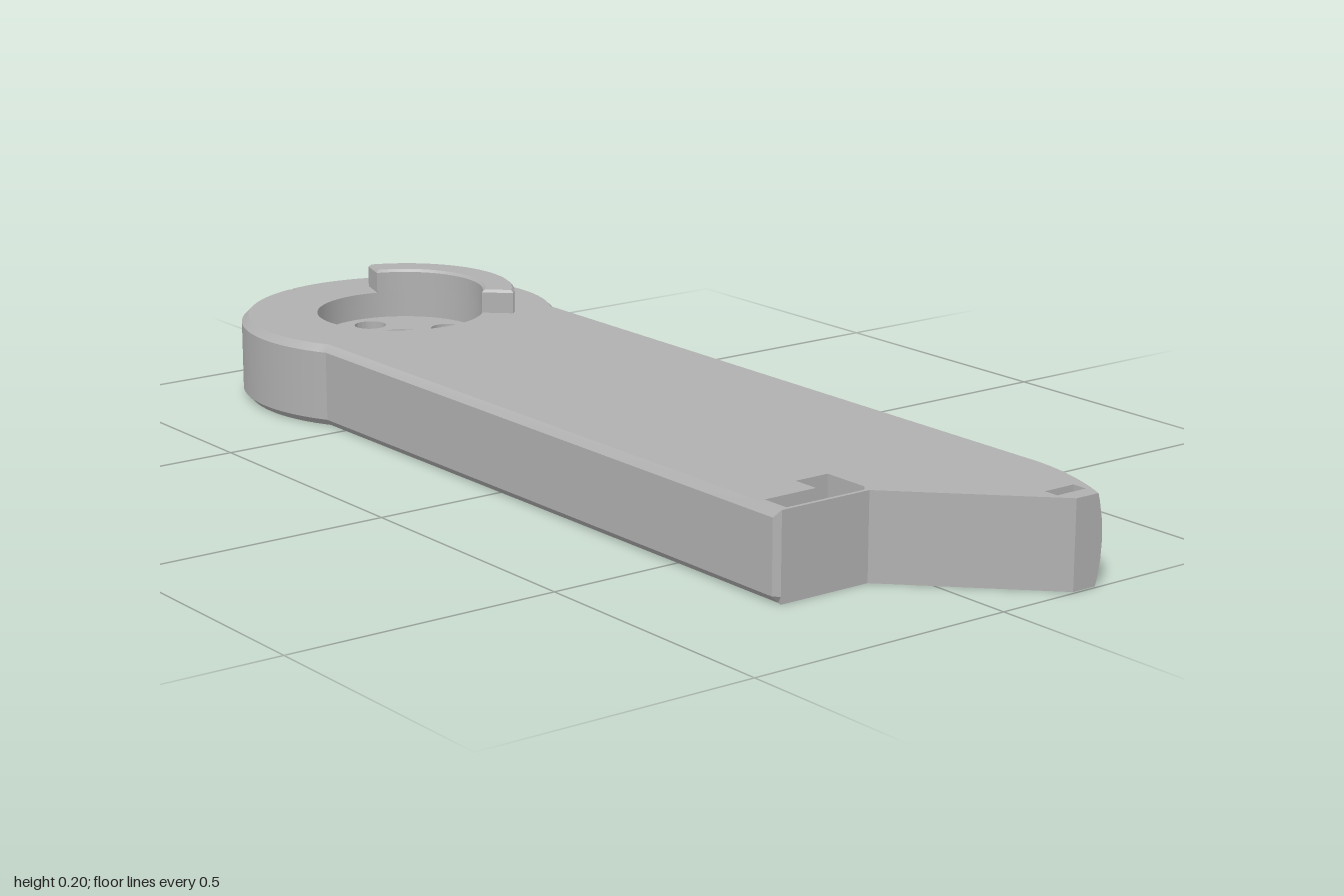
import * as THREE from 'three';
import { mergeGeometries, toCreasedNormals } from 'three/addons/utils/BufferGeometryUtils.js';

// Plan points are (x, v) with v = -z, listed counter-clockwise seen from above.
const H = 0.155, CHAMFER = 0.013, FLOOR = 0.105, POCKET_FLOOR = 0.05, SLOT = 0.015;
const HUB = { x: 0, v: 0.695, r: 0.305 };
const V2 = (x, v) => new THREE.Vector2(x, v);

function circle(x, v, r, n) {
  return Array.from({ length: n }, (_, i) => {
    const a = (i / n) * Math.PI * 2;
    return V2(x + r * Math.cos(a), v + r * Math.sin(a));
  });
}
const rect = (x0, v0, x1, v1) => [V2(x0, v0), V2(x1, v0), V2(x1, v1), V2(x0, v1)];

// Flat horizontal face with holes
function cap(loop, holes, y, up = true) {
  const shape = new THREE.Shape(loop);
  shape.holes = holes.map((h) => new THREE.Path(h));
  const geo = new THREE.ShapeGeometry(shape).rotateX(-Math.PI / 2).translate(0, y, 0);
  if (!up) {
    const idx = geo.index.array;
    for (let i = 0; i < idx.length; i += 3) [idx[i], idx[i + 1]] = [idx[i + 1], idx[i]];
  }
  const flat = geo.toNonIndexed();
  flat.deleteAttribute('uv');
  flat.computeVertexNormals();
  return flat;
}

// Band between two matching loops at different heights
function wall(low, y0, high, y1) {
  const pos = [];
  low.forEach((a, i) => {
    const j = (i + 1) % low.length, b = low[j], c = high[j], d = high[i];
    pos.push(a.x, y0, -a.y, b.x, y0, -b.y, c.x, y1, -c.y);
    pos.push(a.x, y0, -a.y, c.x, y1, -c.y, d.x, y1, -d.y);
  });
  const geo = new THREE.BufferGeometry();
  geo.setAttribute('position', new THREE.Float32BufferAttribute(pos, 3));
  geo.computeVertexNormals();
  return geo;
}
const holeWall = (loop, y0, y1) => {
  const r = [...loop].reverse();
  return wall(r, y0, r, y1);
};

// Outer outline: position, inset direction and whether the edge is rounded
function outline() {
  const pts = [];
  const add = (x, v, nx = 0, nv = 0, round = false) => pts.push({ x, v, nx, nv, round });
  add(0.155, -0.995);
  for (let i = 0; i <= 10; i++) {
    const t = 1 - i / 10;
    add(0.265 - 0.05 * t * t, -0.78 - 0.215 * t, 1, 0, t > 0);
  }
  const a0 = -Math.acos(0.265 / HUB.r), a1 = Math.PI - a0, groove = 1.82;
  const hubPoint = (a, r) => add(r * Math.cos(a), HUB.v + r * Math.sin(a), Math.cos(a), Math.sin(a));
  const arc = (from, to, n) => {
    for (let i = 0; i <= n; i++) hubPoint(from + ((to - from) * i) / n, HUB.r);
  };
  arc(a0, groove - 0.016, 36);
  hubPoint(groove - 0.012, HUB.r - 0.008);
  hubPoint(groove + 0.012, HUB.r - 0.008);
  arc(groove + 0.016, a1, 30);
  add(-0.265, -0.755, -1, 0);
  add(-0.255, -0.765);
  add(-0.075, -0.765);
  return pts;
}

// Outline at a given height, with chamfered or bowed sides
function section(pts, y) {
  const k = Math.abs((2 * y) / H - 1);
  const chamfer = Math.max(0, CHAMFER - Math.min(y, H - y));
  return pts.map((p) => {
    const d = p.round ? 0.012 * k * k : chamfer;
    return V2(p.x - p.nx * d, p.v - p.nv * d);
  });
}

export function createModel() {
  const group = new THREE.Group();
  const grey = new THREE.MeshStandardMaterial({ color: 0xb0b0b0 });
  grey.name = 'plain grey';
  const addPart = (name, geos) => {
    const mesh = new THREE.Mesh(toCreasedNormals(mergeGeometries(geos), 0.4), grey);
    mesh.name = name;
    group.add(mesh);
  };

  const bores = [circle(HUB.x, HUB.v, 0.052, 32)];
  for (let i = 0; i < 4; i++) {
    const a = (i * Math.PI) / 2;
    bores.push(circle(0.108 * Math.cos(a), HUB.v + 0.108 * Math.sin(a), 0.031, 24));
  }
  const recess = circle(HUB.x, HUB.v, 0.16, 64);
  const pocket = [
    V2(-0.24, -0.758), V2(-0.08, -0.758), V2(-0.068, -0.745), V2(-0.068, -0.655),
    V2(-0.135, -0.655), V2(-0.135, -0.705), V2(-0.24, -0.705),
  ];
  const slot = rect(0.142, -0.965, 0.205, -0.937);

  // Arm shell
  const pts = outline();
  const levels = [0, CHAMFER, 0.045, H / 2, H - 0.045, H - CHAMFER, H];
  const loops = levels.map((y) => section(pts, y));
  const shell = [
    cap(loops[6], [recess, pocket, slot], H),
    cap(loops[0], [...bores, slot], 0, false),
  ];
  for (let i = 0; i < 6; i++) shell.push(wall(loops[i], levels[i], loops[i + 1], levels[i + 1]));
  addPart('arm', shell);

  // Round seat with five through bores
  addPart('hubRecess', [
    cap(recess, bores, FLOOR),
    holeWall(recess, FLOOR, H),
    ...bores.map((b) => holeWall(b, 0, FLOOR)),
  ]);

  // Stepped pocket in the square end
  addPart('endPocket', [cap(pocket, [], POCKET_FLOOR), holeWall(pocket, POCKET_FLOOR, H)]);

  // Small catch slots above and below the tip
  addPart('tipSlots', [
    cap(slot, [], H - SLOT), holeWall(slot, H - SLOT, H),
    cap(slot, [], SLOT, false), holeWall(slot, 0, SLOT),
  ]);

  // Curved stop ridge beside the seat
  const ridge = new THREE.Shape();
  const from = -0.75, to = 1.275;
  ridge.absarc(HUB.x, HUB.v, 0.221, from, to, false);
  ridge.absarc(HUB.x, HUB.v, 0.16, to, from, true);
  const ridgeGeo = new THREE.ExtrudeGeometry(ridge, {
    depth: 0.04, bevelEnabled: true, bevelThickness: 0.005, bevelSize: 0.005,
    bevelOffset: -0.005, bevelSegments: 1, curveSegments: 32,
  });
  ridgeGeo.rotateX(-Math.PI / 2).translate(0, H, 0);
  addPart('stopRidge', [ridgeGeo]);

  return group;
}
